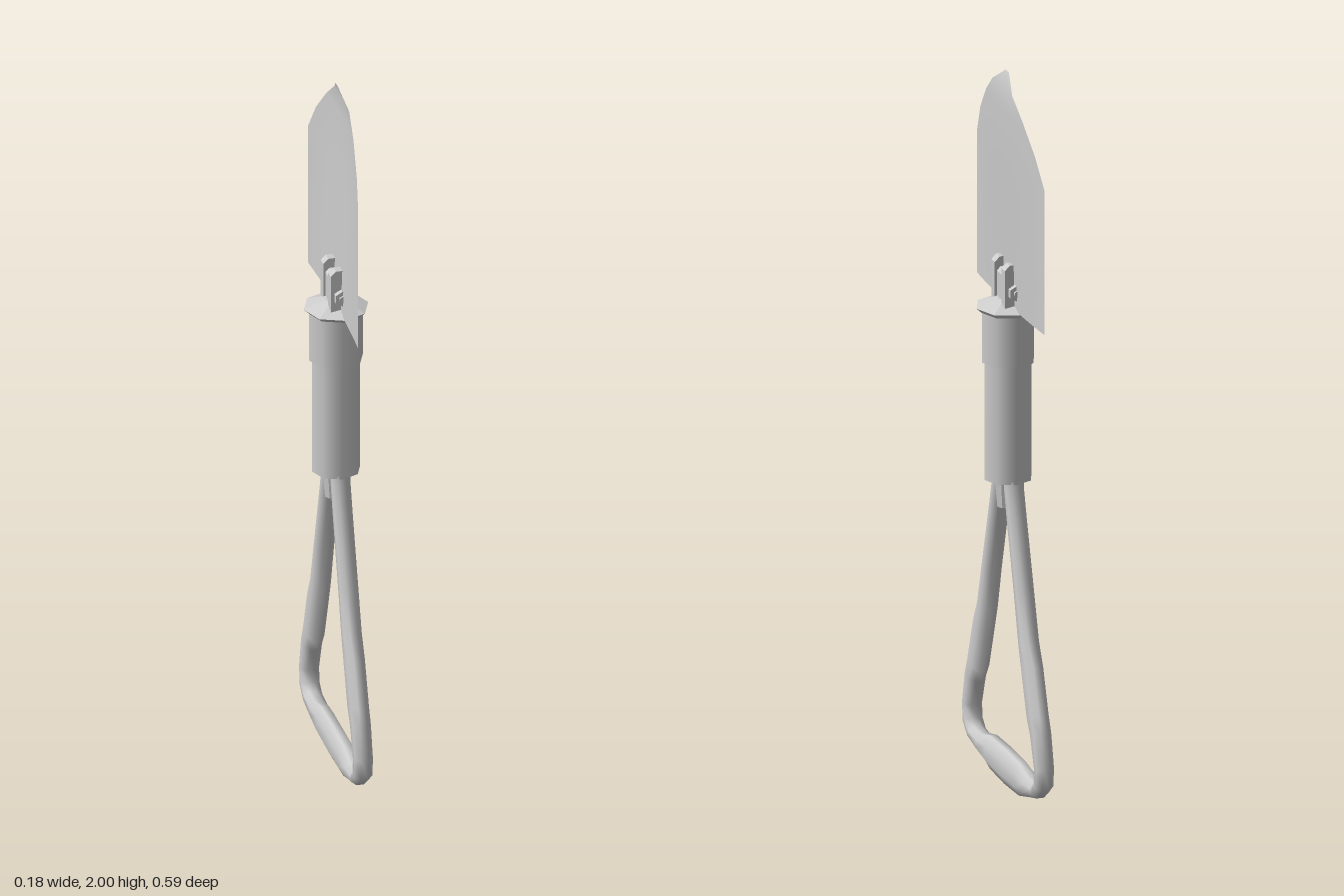
import * as THREE from 'three';

const smooth = new THREE.MeshStandardMaterial({ color: 0xcccccc });
const flat = new THREE.MeshStandardMaterial({ color: 0xcccccc, flatShading: true });
const sheet = new THREE.MeshStandardMaterial({ color: 0xcccccc, side: THREE.DoubleSide });

function add(parent, name, geometry, material) {
  const mesh = new THREE.Mesh(geometry, material);
  mesh.name = name;
  parent.add(mesh);
  return mesh;
}

// Upright cylinder between two heights
function drum(parent, name, y0, y1, r0, r1, sides, material) {
  const mesh = add(parent, name, new THREE.CylinderGeometry(r1, r0, y1 - y0, sides), material);
  mesh.position.y = (y0 + y1) / 2;
  return mesh;
}

function gridGeometry(positions, rows, cols) {
  const index = [];
  for (let i = 0; i < rows - 1; i++) {
    for (let j = 0; j < cols - 1; j++) {
      const a = i * cols + j, b = a + 1, c = a + cols, d = c + 1;
      index.push(a, b, c, b, d, c);
    }
  }
  const g = new THREE.BufferGeometry();
  g.setAttribute('position', new THREE.Float32BufferAttribute(positions, 3));
  g.setIndex(index);
  g.computeVertexNormals();
  return g;
}

// Dished blade: rows of height, half width and depth of the dish
function bladeGeometry() {
  const rows = [
    [1.345, 0.255, 0.008], [1.45, 0.255, 0.011], [1.6, 0.255, 0.018], [1.75, 0.255, 0.023],
    [1.83, 0.207, 0.026], [1.905, 0.138, 0.026], [1.957, 0.075, 0.026], [2.0, 0.012, 0.01],
  ];
  const cols = 13, p = [];
  for (const [y, half, dish] of rows) {
    for (let j = 0; j < cols; j++) {
      const z = half * (1 - 2 * j / (cols - 1));
      p.push(-0.008 + dish * (1 - (z / 0.255) ** 2), y, z);
    }
  }
  return gridGeometry(p, rows.length, cols);
}

// Handle loop: sweep along z, y, half width; the depth stays constant
function handleGeometry() {
  const half = [
    [0.042, 0.88, 0.018], [0.046, 0.84, 0.02], [0.066, 0.765, 0.022], [0.124, 0.567, 0.024],
    [0.156, 0.45, 0.03], [0.183, 0.386, 0.042], [0.225, 0.265, 0.042], [0.248, 0.222, 0.033],
    [0.273, 0.135, 0.021], [0.268, 0.088, 0.022], [0.238, 0.062, 0.02], [0.18, 0.053, 0.027],
    [0.11, 0.051, 0.046],
  ];
  const path = [...half, [0, 0.05, 0.05], ...half.map(([z, y, w]) => [-z, y, w]).reverse()];
  const sides = 8, depth = 0.025, k = 1 / Math.cos(Math.PI / sides), p = [], index = [];
  path.forEach(([z, y, w], i) => {
    const a = path[Math.max(i - 1, 0)], b = path[Math.min(i + 1, path.length - 1)];
    const t = new THREE.Vector2(b[0] - a[0], b[1] - a[1]).normalize();
    for (let j = 0; j < sides; j++) {
      const angle = (j + 0.5) * 2 * Math.PI / sides;
      const off = k * w * Math.cos(angle);
      p.push(k * depth * Math.sin(angle), y - t.x * off, z + t.y * off);
    }
  });
  for (let i = 0; i < path.length - 1; i++) {
    for (let j = 0; j < sides; j++) {
      const n = (j + 1) % sides, a = i * sides + j, b = i * sides + n;
      index.push(a, b, a + sides, b, b + sides, a + sides);
    }
  }
  const g = new THREE.BufferGeometry();
  g.setAttribute('position', new THREE.Float32BufferAttribute(p, 3));
  g.setIndex(index);
  g.computeVertexNormals();
  return g;
}

// Hinge lug with chamfered top, thickness along z
function lugGeometry(width, y0, y1, thick) {
  const w = width / 2, c = w * 0.5;
  const s = new THREE.Shape([[-w, y0], [w, y0], [w, y1 - c], [w - c, y1], [c - w, y1], [-w, y1 - c]]
    .map(([x, y]) => new THREE.Vector2(x, y)));
  return new THREE.ExtrudeGeometry(s, { depth: thick, bevelEnabled: false }).translate(0, 0, -thick / 2);
}

export function createModel() {
  const model = new THREE.Group();
  model.name = 'foldingShovel';

  add(model, 'blade', bladeGeometry(), sheet);

  // Shaft and locking collar
  const shaft = new THREE.Group();
  shaft.name = 'shaft';
  model.add(shaft);
  drum(shaft, 'shaftTube', 0.86, 1.2, 0.066, 0.066, 8, smooth);
  drum(shaft, 'shaftSleeve', 1.19, 1.335, 0.073, 0.073, 8, smooth);
  drum(shaft, 'collarUnderside', 1.33, 1.343, 0.074, 0.088, 8, flat);
  drum(shaft, 'collarTop', 1.343, 1.365, 0.088, 0.03, 8, flat);

  // Hinge between collar and blade
  const hinge = new THREE.Group();
  hinge.name = 'hinge';
  model.add(hinge);
  add(hinge, 'hingeTongue', lugGeometry(0.044, 1.35, 1.445, 0.06), flat);
  for (const side of [-1, 1]) {
    add(hinge, 'hingeLug', lugGeometry(0.056, 1.35, 1.472, 0.026), flat).position.z = side * 0.038;
    const bolt = add(hinge, 'hingeBolt', new THREE.CylinderGeometry(0.022, 0.022, 0.014, 6), flat);
    bolt.rotation.x = Math.PI / 2;
    bolt.position.set(0, 1.398, side * 0.062);
  }
  const pin = add(hinge, 'hingePin', new THREE.CylinderGeometry(0.01, 0.01, 0.15, 6), smooth);
  pin.rotation.x = Math.PI / 2;
  pin.position.y = 1.398;

  // Folding handle and its pivot
  add(model, 'handleLoop', handleGeometry(), smooth);
  const pivot = drum(model, 'handlePivot', 0.78, 0.87, 0.03, 0.038, 8, flat);
  pivot.scale.z = 0.68;

  return model;
}
